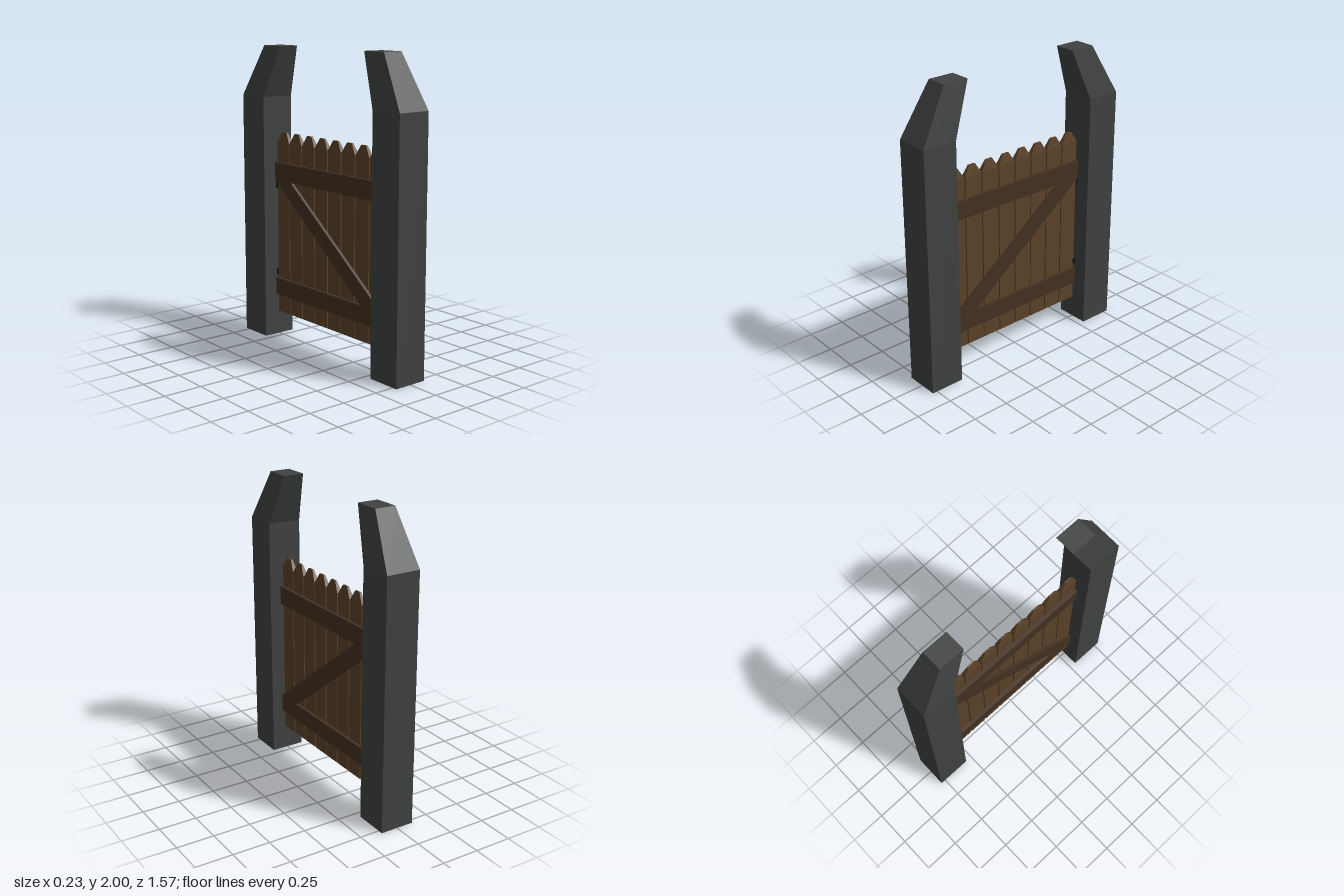
import * as THREE from 'three';

const paint = (color) => new THREE.MeshStandardMaterial({ color, flatShading: true });

// Upright beam along y whose top section narrows to (topW, topD) and leans by `lean` in z
function taperedBeam(w, d, y0, yShoulder, y1, topW, topD, lean = 0) {
  const geo = new THREE.BoxGeometry(w, 2, d, 1, 2, 1);
  const p = geo.attributes.position;
  for (let i = 0; i < p.count; i++) {
    const level = Math.round(p.getY(i)); // -1 base, 0 shoulder, 1 top
    p.setY(i, level < 0 ? y0 : level > 0 ? y1 : yShoulder);
    if (level > 0) {
      p.setX(i, Math.sign(p.getX(i)) * topW / 2);
      p.setZ(i, Math.sign(p.getZ(i)) * topD / 2 + lean);
    }
  }
  geo.computeVertexNormals();
  return geo;
}

export function createModel() {
  const model = new THREE.Group();
  model.name = 'gate';
  const stone = paint(0x404241);
  const plankWood = paint(0x5b4229);
  const frameWood = paint(0x443122);
  const iron = paint(0x141616);

  const add = (parent, name, geo, mat, x = 0, y = 0, z = 0) => {
    const mesh = new THREE.Mesh(geo, mat);
    mesh.name = name;
    mesh.position.set(x, y, z);
    parent.add(mesh);
    return mesh;
  };

  // Two posts with tops leaning towards each other
  for (const s of [1, -1]) {
    const geo = taperedBeam(0.23, 0.235, 0, 1.66, 2, 0.14, 0.175, -s * 0.16);
    add(model, s > 0 ? 'frontPost' : 'backPost', geo, stone, 0, 0, s * 0.6655);
  }

  const door = new THREE.Group();
  door.name = 'door';
  model.add(door);

  // Row of pointed planks
  const plank = taperedBeam(0.034, 0.127, 0.17, 1.355, 1.422, 0.012, 0.048);
  for (let i = 0; i < 8; i++) {
    add(door, 'plank' + (i + 1), plank, plankWood, 0, 0, 0.481 - i * 0.135);
  }

  // Z frame on both faces: two rails and a diagonal brace (shape x runs along -z)
  const a = -0.545, b = 0.527;
  const outlines = {
    lowerRail: [[a, 0.295], [b, 0.295], [b, 0.413], [a, 0.413]],
    upperRail: [[a, 1.095], [b, 1.095], [b, 1.218], [a, 1.218]],
    brace: [[a, 0.413], [-0.365, 0.413], [b, 1.095], [0.355, 1.095]],
  };
  for (const [name, pts] of Object.entries(outlines)) {
    const shape = new THREE.Shape(pts.map(([x, y]) => new THREE.Vector2(x, y)));
    const geo = new THREE.ExtrudeGeometry(shape, { depth: 0.024, bevelEnabled: false });
    geo.rotateY(Math.PI / 2);
    add(door, name + 'Left', geo, frameWood, 0.015);
    add(door, name + 'Right', geo, frameWood, -0.039);
  }

  // Hinges joining the door to the back post
  for (const y of [0.447, 1.055]) {
    add(model, 'hinge', new THREE.BoxGeometry(0.034, 0.044, 0.04), iron, 0, y, -0.538);
  }

  return model;
}
